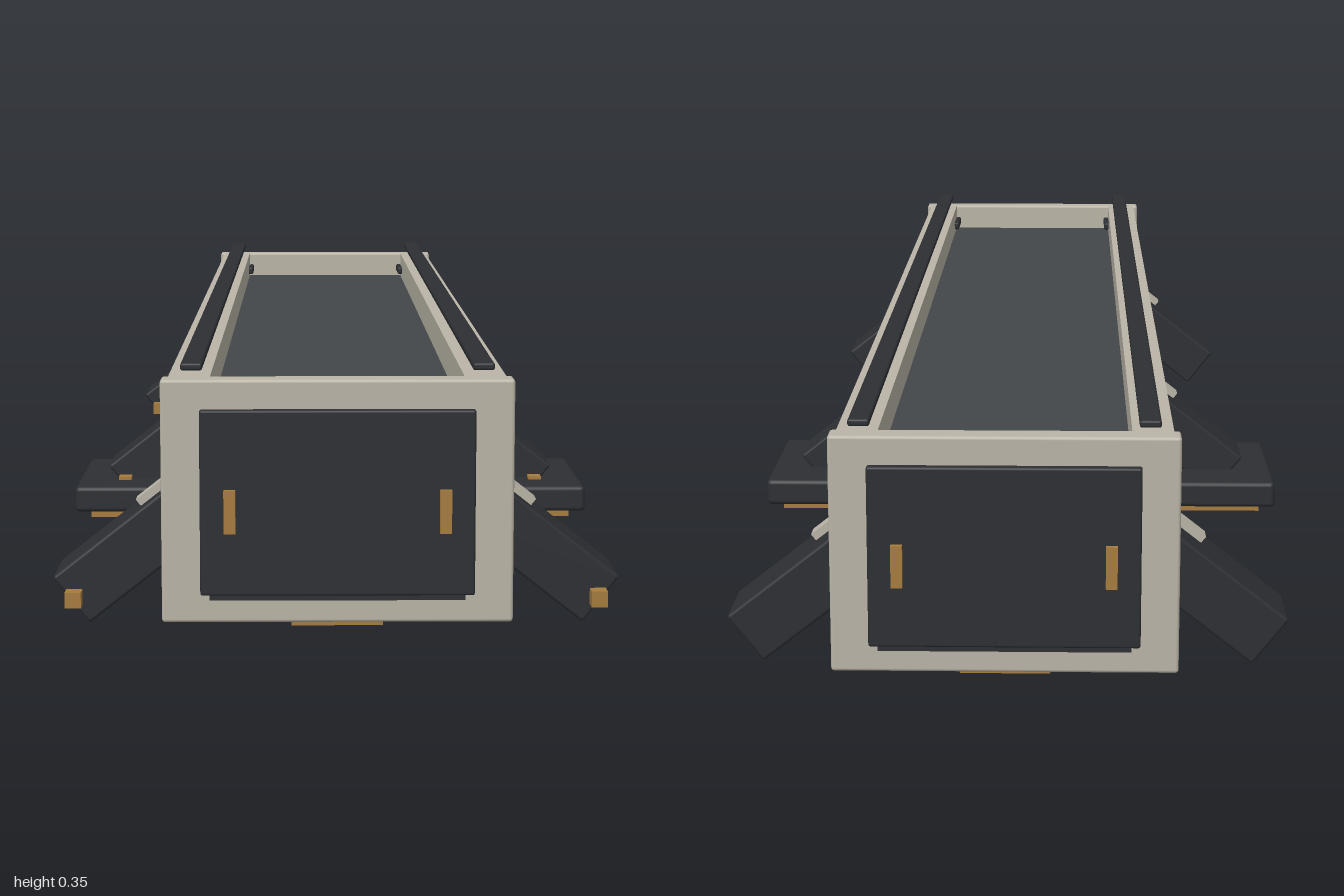
import * as THREE from 'three';
import { RoundedBoxGeometry } from 'three/addons/geometries/RoundedBoxGeometry.js';

const mat = (color) => new THREE.MeshStandardMaterial({ color });

export function createModel() {
  const root = new THREE.Group();
  const cream = mat(0xbab5a7), dark = mat(0x2d2f33), deckGrey = mat(0x43474a), gold = mat(0xa67c3e);

  const add = (parent, name, geometry, material, x = 0, y = 0, z = 0) => {
    const mesh = new THREE.Mesh(geometry, material);
    mesh.name = name;
    mesh.position.set(x, y, z);
    parent.add(mesh);
    return mesh;
  };
  const box = (parent, name, material, w, h, d, x, y, z) =>
    add(parent, name, new THREE.BoxGeometry(w, h, d), material, x, y, z);
  const rounded = (parent, name, material, w, h, d, x, y, z, r = 0.004) =>
    add(parent, name, new RoundedBoxGeometry(w, h, d, 2, r), material, x, y, z);

  // Hull, stepped belly and recessed deck
  box(root, 'hull', dark, 0.35, 0.18, 1.9, 0, 0.155, 0);
  box(root, 'belly', dark, 0.25, 0.03, 1.92, 0, 0.057, 0);
  box(root, 'keelStrip', gold, 0.11, 0.01, 1.92, 0, 0.038, 0);
  box(root, 'deck', deckGrey, 0.32, 0.05, 1.9, 0, 0.265, 0);

  // Window surround, cut from a flat plate and turned to face sideways
  const surround = new THREE.Shape();
  surround.moveTo(-0.1, -0.06).lineTo(0.1, -0.06).lineTo(0.1, 0.06).lineTo(-0.1, 0.06).closePath();
  const opening = new THREE.Path();
  opening.moveTo(-0.088, -0.048).lineTo(-0.088, 0.055).lineTo(0.088, 0.055).lineTo(0.088, -0.048).closePath();
  surround.holes.push(opening);
  const surroundGeometry = new THREE.ExtrudeGeometry(surround, { depth: 0.016, bevelEnabled: false });
  surroundGeometry.translate(0, 0, -0.008).rotateY(Math.PI / 2);

  for (const s of [1, -1]) {
    // Long side beam, top rail and lower ledge
    box(root, 'sideBeam', cream, 0.05, 0.105, 1.92, s * 0.177, 0.2815, 0);
    rounded(root, 'topRail', dark, 0.026, 0.009, 1.95, s * 0.173, 0.349, 0, 0.003);
    rounded(root, 'lowerLedge', dark, 0.03, 0.02, 1.9, s * 0.17, 0.065, 0);

    // Cable along the side
    const cable = add(root, 'sideCable', new THREE.CylinderGeometry(0.004, 0.004, 1.9, 10), gold, s * 0.204, 0.2, 0);
    cable.rotation.x = Math.PI / 2;

    // Side windows with their handles
    for (const z of [-0.57, -0.255, 0.255, 0.57]) {
      add(root, 'windowSurround', surroundGeometry, dark, s * 0.181, 0.178, z);
      box(root, 'windowPanel', cream, 0.012, 0.104, 0.178, s * 0.177, 0.181, z);
      box(root, 'windowHandle', gold, 0.012, 0.05, 0.014, s * 0.188, 0.175, z + 0.062);
    }

    // Bolts and inner brackets near the ends
    for (const e of [1, -1]) {
      for (const [x, y] of [[0.203, 0.295], [0.177, 0.1]]) {
        const bolt = add(root, 'bolt', new THREE.CylinderGeometry(0.009, 0.009, 0.012, 12), gold, s * x, y, e * 0.915);
        bolt.rotation.z = Math.PI / 2;
      }
      rounded(root, 'deckBracket', dark, 0.01, 0.014, 0.08, s * 0.148, 0.306, e * 0.9);
    }

    // Slanted legs
    for (const z of [-0.815, 0, 0.815]) {
      const leg = new THREE.Group();
      leg.name = 'leg';
      leg.position.set(s * 0.235, 0.117, z);
      leg.rotation.z = -s * 0.665;
      root.add(leg);
      rounded(leg, 'legBeam', dark, 0.243, 0.074, 0.102, 0, 0, 0);
      box(leg, 'legPiston', cream, 0.075, 0.014, 0.026, -s * 0.055, 0.04, 0.012);
      box(root, 'legPin', gold, 0.02, 0.02, 0.026, s * 0.326, 0.047, z + 0.06);
    }

    // Broad middle foot with its sole
    rounded(root, 'foot', dark, 0.183, 0.04, 0.27, s * 0.308, 0.032, 0, 0.007);
    box(root, 'footSole', gold, 0.137, 0.011, 0.22, s * 0.308, 0.0055, 0);
  }

  // End frames with door, handles and sill
  for (const e of [1, -1]) {
    const end = new THREE.Group();
    end.name = 'endCap';
    end.rotation.y = e > 0 ? 0 : Math.PI;
    root.add(end);
    rounded(end, 'endFrame', cream, 0.42, 0.293, 0.036, 0, 0.188, 0.963);
    rounded(end, 'endDoor', dark, 0.327, 0.223, 0.02, 0, 0.188, 0.982, 0.003);
    box(end, 'doorSill', dark, 0.305, 0.008, 0.014, 0, 0.074, 0.98);
    for (const s of [1, -1]) box(end, 'doorHandle', gold, 0.014, 0.052, 0.014, s * 0.128, 0.179, 0.993);
  }
  return root;
}
